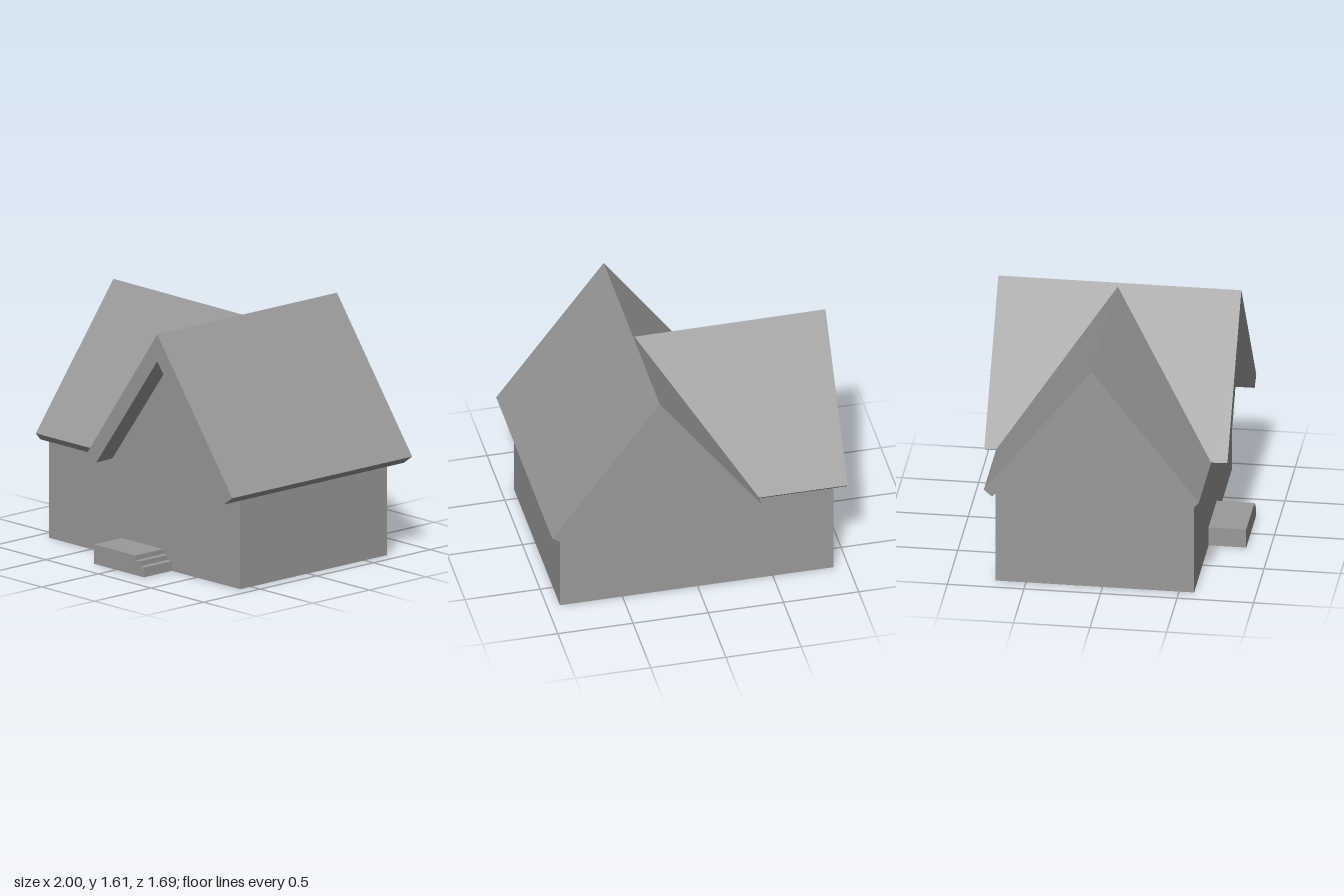
import * as THREE from 'three';

const material = new THREE.MeshStandardMaterial({ color: 0x9a9a9a, flatShading: true, side: THREE.DoubleSide });

function addMesh(group, name, geometry) {
  const mesh = new THREE.Mesh(geometry, material);
  mesh.name = name;
  group.add(mesh);
  return mesh;
}

const shapeOf = (points) => new THREE.Shape(points.map(([x, y]) => new THREE.Vector2(x, y)));

// Roof slab between an outer and an inner polygon; the first `rims` edges get a closing strip.
function slab(outer, inner, rims) {
  const [a, b, c] = outer.map((p) => new THREE.Vector3(...p));
  const facesUp = b.clone().sub(a).cross(c.clone().sub(a)).y > 0;
  const positions = [];
  const triangle = (p, q, r) => positions.push(...(facesUp ? [p, q, r] : [p, r, q]).flat());
  for (let i = 1; i < outer.length - 1; i++) {
    triangle(outer[0], outer[i], outer[i + 1]);
    triangle(inner[0], inner[i + 1], inner[i]);
  }
  for (let i = 0; i < rims; i++) {
    triangle(outer[i], inner[i], inner[i + 1]);
    triangle(outer[i], inner[i + 1], outer[i + 1]);
  }
  const geometry = new THREE.BufferGeometry();
  geometry.setAttribute('position', new THREE.Float32BufferAttribute(positions, 3));
  geometry.computeVertexNormals();
  return geometry;
}

export function createModel() {
  const house = new THREE.Group();
  house.name = 'house';

  const ridgeX = 0.285, ridgeZ = -0.06, valleyTopX = 0.27;
  const wall = { left: 0.915, right: -0.903, front: 0.598, back: -0.7 };

  // Front and back walls, each with an off-centre gable
  const gableWall = shapeOf([
    [wall.right, 0], [wall.left, 0], [wall.left, 0.6], [ridgeX, 1.43], [-0.3, 0.645], [wall.right, 0.645],
  ]);
  addMesh(house, 'frontWall', new THREE.ShapeGeometry(gableWall)).position.z = wall.front;
  addMesh(house, 'backWall', new THREE.ShapeGeometry(gableWall)).position.z = wall.back;

  // Side walls, drawn with z as the horizontal axis
  const sideGable = shapeOf([
    [-wall.front, 0], [-wall.back, 0], [-wall.back, 0.645], [-ridgeZ, 1.42], [-wall.front, 0.645],
  ]);
  const rightWall = addMesh(house, 'rightWall', new THREE.ShapeGeometry(sideGable));
  rightWall.rotation.y = Math.PI / 2;
  rightWall.position.x = wall.right;
  const sidePlain = shapeOf([
    [-wall.front, 0], [-wall.back, 0], [-wall.back, 0.6], [-wall.front, 0.6],
  ]);
  const leftWall = addMesh(house, 'leftWall', new THREE.ShapeGeometry(sidePlain));
  leftWall.rotation.y = Math.PI / 2;
  leftWall.position.x = wall.left;

  // Main roof, unbroken slope
  const frontEnd = 0.745, backEnd = -0.842;
  const slope = (top, x, y) => [
    [ridgeX, top, frontEnd], [x, y, frontEnd], [x, y, backEnd], [ridgeX, top, backEnd],
  ];
  addMesh(house, 'mainRoofLeftSlope', slab(slope(1.61, 1, 0.65), slope(1.43, 0.92, 0.593), 3));

  // Slopes that meet in the valleys, at the front and at the back
  const halves = [
    { side: 'Front', end: frontEnd, eave: 0.64, innerEave: 0.6, inset: 0.01 },
    { side: 'Back', end: backEnd, eave: -0.765, innerEave: -0.71, inset: 0 },
  ];
  for (const { side, end, eave, innerEave, inset } of halves) {
    const mainPart = (top, valleyTop, x, y, z) => [
      [ridgeX, top, end], [x + inset, y, end], [x, y, z],
      [valleyTopX, valleyTop, ridgeZ], [ridgeX, top, ridgeZ],
    ];
    addMesh(house, `mainRoofRightSlope${side}`,
      slab(mainPart(1.61, 1.59, -0.393, 0.69, eave), mainPart(1.43, 1.41, -0.305, 0.643, innerEave), 2));

    const crossPart = (top, valleyTop, x, y, z) => [
      [-1, top, ridgeZ], [-0.983, y, z], [x, y, z], [valleyTopX, valleyTop, ridgeZ],
    ];
    addMesh(house, `crossRoof${side}Slope`,
      slab(crossPart(1.597, 1.59, -0.393, 0.69, eave), crossPart(1.42, 1.41, -0.305, 0.643, innerEave), 2));
  }

  // Porch platform with steps down one side, set slightly into the front wall
  const porch = shapeOf([
    [-0.208, 0], [0.266, 0], [0.266, 0.065], [0.224, 0.065],
    [0.224, 0.098], [0.184, 0.098], [0.184, 0.13], [-0.208, 0.13],
  ]);
  const porchGeometry = new THREE.ExtrudeGeometry(porch, { depth: 0.25, bevelEnabled: false });
  addMesh(house, 'porchSteps', porchGeometry).position.z = 0.594;

  return house;
}
